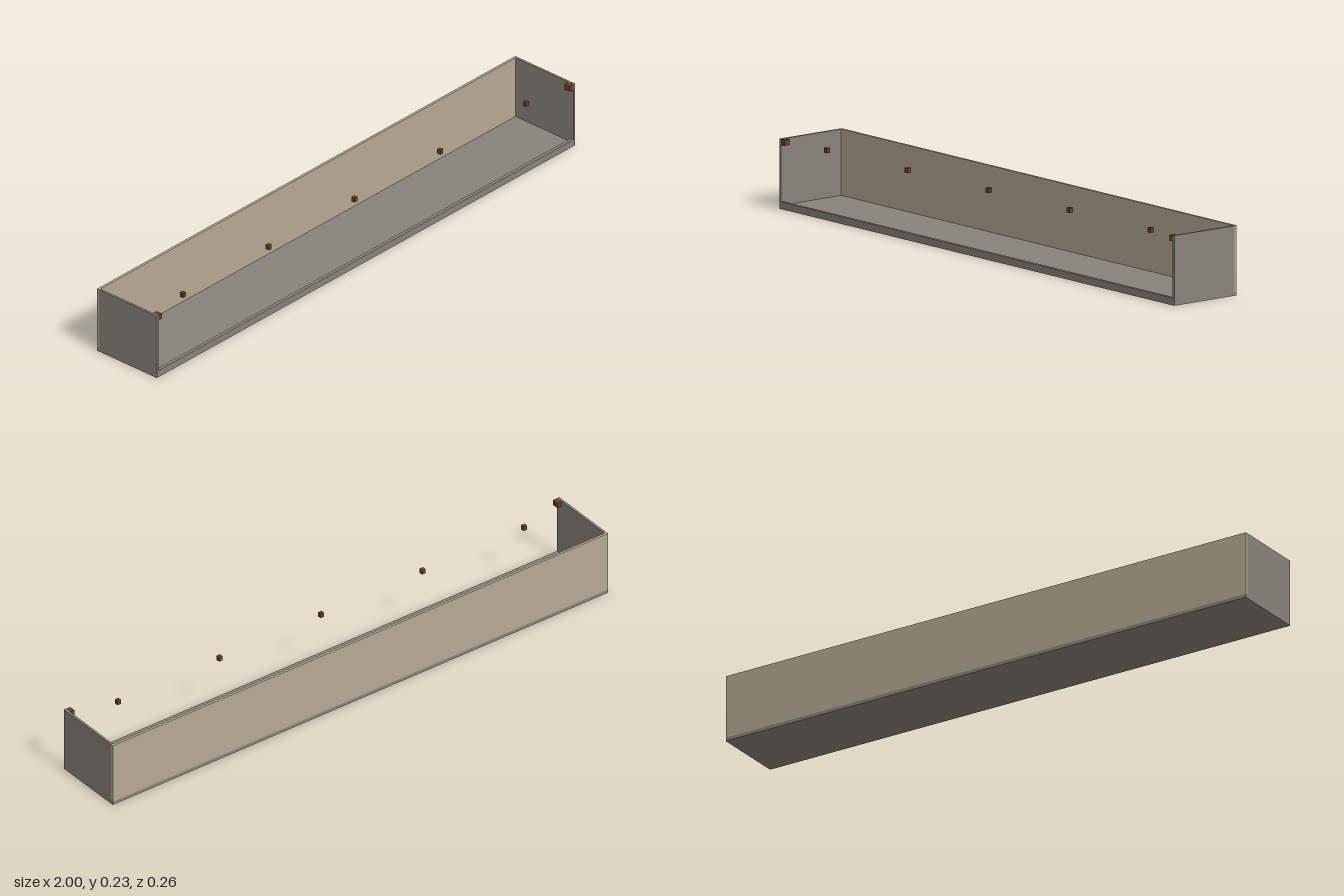
import * as THREE from 'three';

export function createModel() {
  const model = new THREE.Group();
  model.name = 'openTrough';

  const material = (name, color) => {
    const m = new THREE.MeshStandardMaterial({ color });
    m.name = name;
    return m;
  };
  const tan = material('tan panel', 0xb5a993);
  const grey = material('warm grey', 0x88827a);
  const brown = material('brown wood', 0x6b3f26);

  // Box given by its minimum and maximum corners
  const box = (name, mat, [x0, y0, z0], [x1, y1, z1]) => {
    const mesh = new THREE.Mesh(new THREE.BoxGeometry(x1 - x0, y1 - y0, z1 - z0), mat);
    mesh.position.set((x0 + x1) / 2, (y0 + y1) / 2, (z0 + z1) / 2);
    mesh.name = name;
    model.add(mesh);
  };

  // Long panels
  box('floor', grey, [-1, 0, -0.13], [1, 0.012, 0.13]);
  box('backPanel', tan, [-1, 0.012, -0.13], [1, 0.23, -0.121]);
  box('frontLip', grey, [-0.992, 0.012, 0.118], [0.992, 0.024, 0.13]);

  // End panels with a small block at the top front corner
  for (const s of [-1, 1]) {
    const side = s < 0 ? 'right' : 'left';
    const span = (a, b) => (s < 0 ? [-b, -a] : [a, b]);
    const [p0, p1] = span(0.992, 1);
    box(side + 'EndPanel', grey, [p0, 0.012, -0.121], [p1, 0.23, 0.13]);
    const [b0, b1] = span(0.975, 0.994);
    box(side + 'CornerBlock', brown, [b0, 0.21, 0.107], [b1, 0.2295, 0.1295]);
  }

  // Row of small pegs along the open front
  for (let i = -2; i <= 2; i++) {
    const x = i * 0.41;
    box('peg', brown, [x - 0.007, 0.206, 0.073], [x + 0.007, 0.222, 0.087]);
  }

  return model;
}
